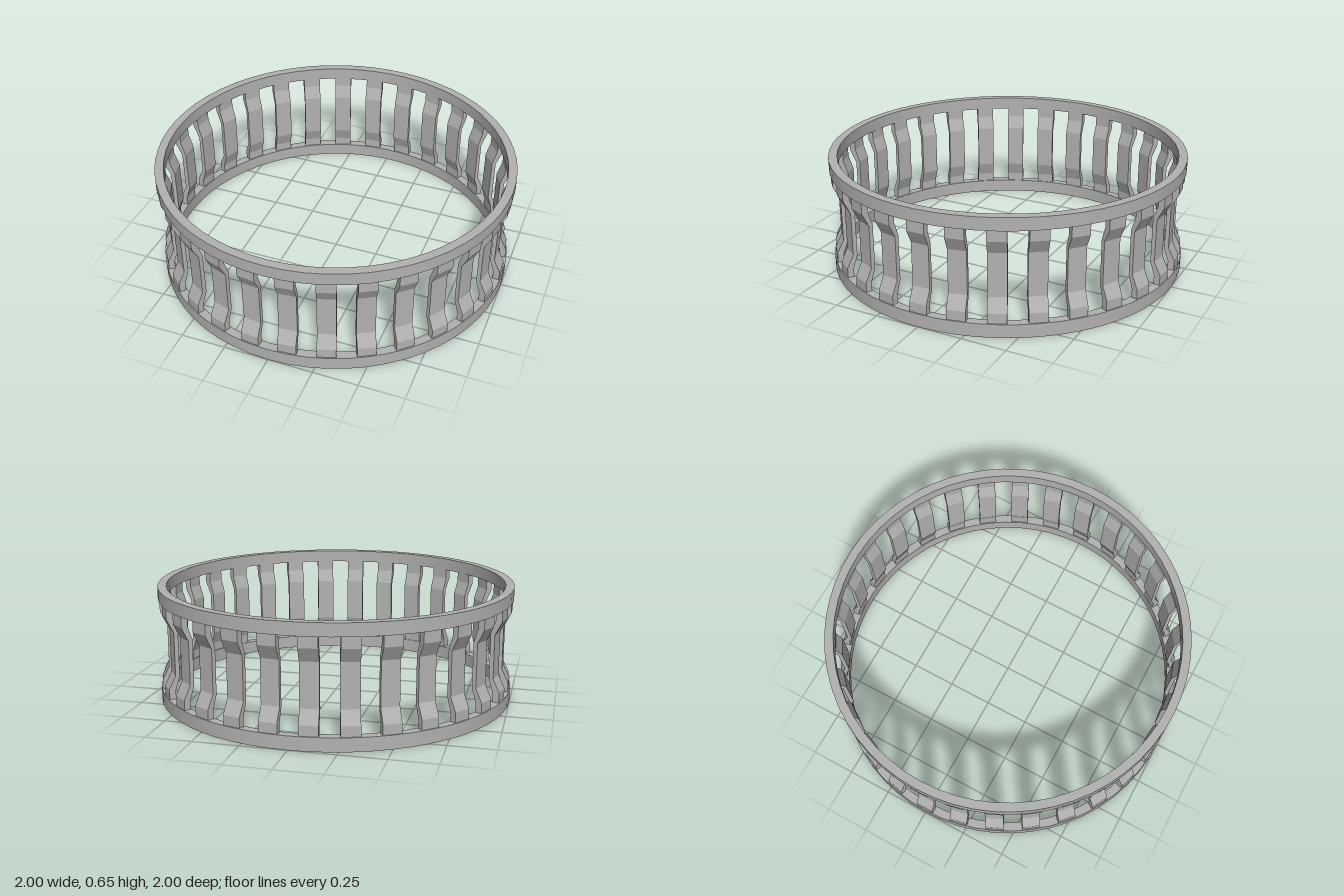
import * as THREE from 'three';

const BARS = 30;
const HEIGHT = 0.65;

export function createModel() {
  const group = new THREE.Group();
  group.name = 'rollerCage';
  const steel = new THREE.MeshStandardMaterial({ color: 0xb2b2b2 });
  steel.name = 'grey steel';

  // End rims: closed rectangular sections; doubled corners keep the edges sharp
  const rim = (name, y0, y1) => {
    const o = 1, i = 0.952;
    const sides = [[[i, y0], [o, y0]], [[o, y0], [o, y1]], [[o, y1], [i, y1]], [[i, y1], [i, y0]]];
    const part = new THREE.Group();
    part.name = name;
    for (const side of sides) {
      const points = side.map(([r, y]) => new THREE.Vector2(r, y));
      const mesh = new THREE.Mesh(new THREE.LatheGeometry(points, 60, Math.PI / BARS), steel);
      mesh.name = name + 'Face';
      part.add(mesh);
    }
    group.add(part);
  };
  rim('bottomRim', 0, 0.075);
  rim('topRim', 0.58, HEIGHT);

  // Bar side profile: pressed inward between two slanted shoulders
  const outer = [[0.992, 0.06], [0.992, 0.13], [0.955, 0.205], [0.955, 0.445], [0.992, 0.52], [0.992, 0.59]];
  const inner = [[0.957, 0.59], [0.957, 0.525], [0.932, 0.45], [0.932, 0.2], [0.957, 0.125], [0.957, 0.06]];
  const shape = new THREE.Shape([...outer, ...inner].map(([r, y]) => new THREE.Vector2(r, y)));
  const width = 0.1;
  const barGeometry = new THREE.ExtrudeGeometry(shape, { depth: width, bevelEnabled: false });
  barGeometry.translate(0, 0, -width / 2);

  // Bars around the ring, with a gap centred on the front
  for (let k = 0; k < BARS; k++) {
    const bar = new THREE.Mesh(barGeometry, steel);
    bar.name = 'bar' + (k + 1);
    bar.rotation.y = (k / BARS) * Math.PI * 2;
    group.add(bar);
  }
  return group;
}
